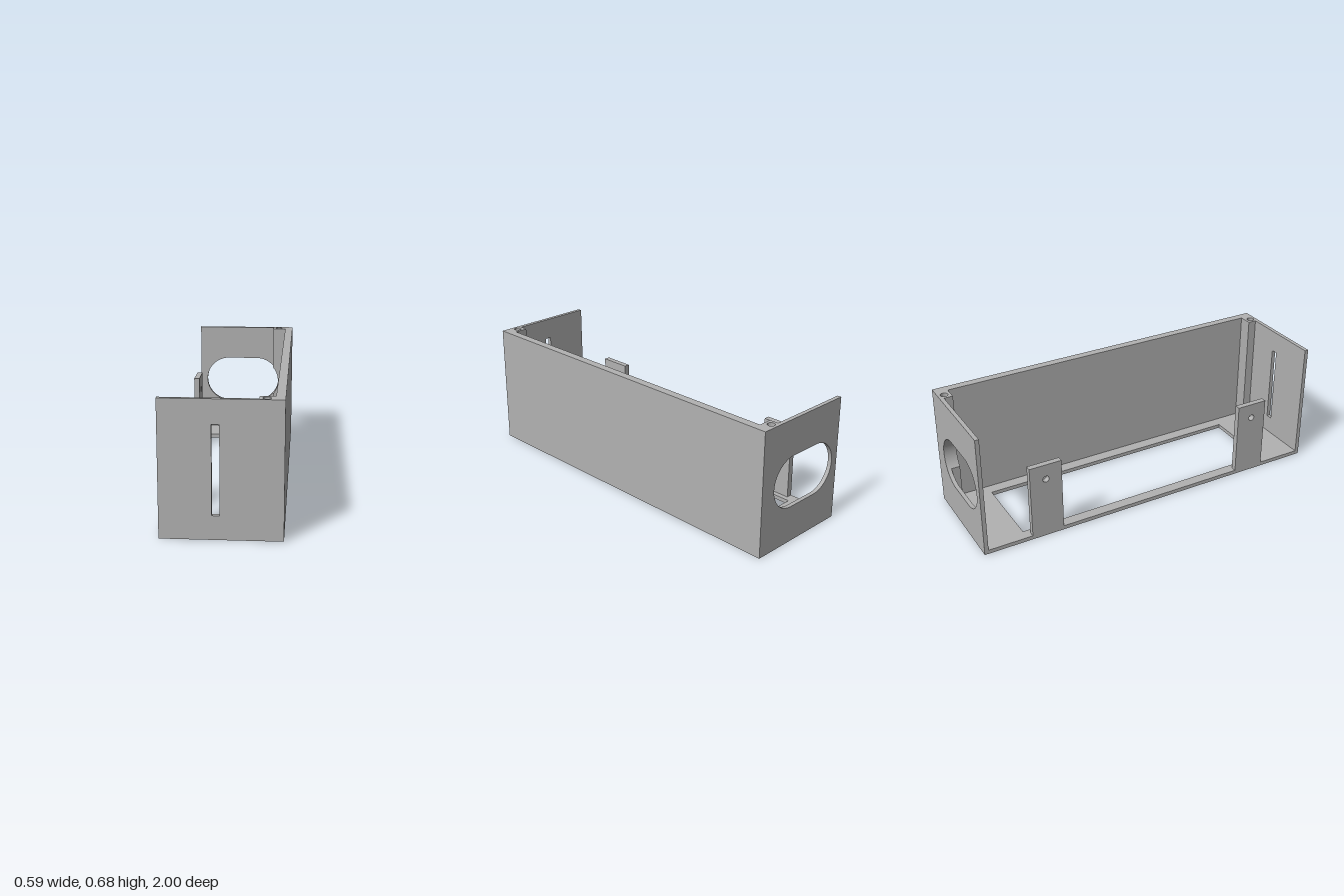
import * as THREE from 'three';

// Main dimensions
const X = 0.295, Z = 1, H = 0.68, T = 0.022;   // half width, half length, height, thin wall
const WALL = 0.25, POST_X = 0.175, POST_Z = 0.93; // inner faces of side wall and corner posts
const LOW = 0.1, HIGH = 0.58;                  // end levels of the blind screw holes
const OVAL = { x: -0.024, y: 0.34, half: 0.09, r: 0.14 };

const poly = (pts, Type = THREE.Shape) => new Type(pts.map(([x, y]) => new THREE.Vector2(x, y)));
const rect = (x0, y0, x1, y1, Type) => poly([[x0, y0], [x1, y0], [x1, y1], [x0, y1]], Type);

const circle = (x, y, r) => {
  const p = new THREE.Path();
  p.absarc(x, y, r, 0, Math.PI * 2, true);
  return p;
};

const extrude = (shape, depth, curveSegments) =>
  new THREE.ExtrudeGeometry(shape, { depth, curveSegments, bevelEnabled: false });

// Plan shape (x, z) raised from y0 to y1
const raise = (shape, y0, y1) => extrude(shape, y1 - y0, 8).rotateX(Math.PI / 2).translate(0, y1, 0);
// Elevation shape (x, y) running from z0 to z1
const along = (shape, z0, z1) => extrude(shape, z1 - z0, 24).translate(0, 0, z0);

const withScrewHoles = (shape) => {
  for (const z of [-0.965, 0.965]) shape.holes.push(circle(0.21, z, 0.02));
  return shape;
};

export function createModel() {
  const group = new THREE.Group();
  const grey = new THREE.MeshStandardMaterial({ color: 0xb2b2b2 });
  grey.name = 'plain grey';
  const add = (name, geometry) => {
    const mesh = new THREE.Mesh(geometry, grey);
    mesh.name = name;
    group.add(mesh);
    return mesh;
  };

  // Floor frame with its large opening
  const floor = withScrewHoles(rect(-X, -Z, X, Z));
  floor.holes.push(rect(-0.235, -0.76, 0.185, 0.76, THREE.Path));
  add('floor', raise(floor, 0, T));

  // Three-sided wall plan with corner posts, below and above the end openings
  const wallPlan = () => withScrewHoles(poly([
    [-X, -Z], [X, -Z], [X, Z], [-X, Z], [-X, Z - T], [POST_X, Z - T],
    [POST_X, POST_Z], [WALL, POST_Z], [WALL, -POST_Z], [POST_X, -POST_Z],
    [POST_X, T - Z], [-X, T - Z],
  ]));
  add('lowerWalls', raise(wallPlan(), T, LOW));
  add('upperWalls', raise(wallPlan(), HIGH, H));

  // Middle band: solid side wall
  add('sideWall', along(rect(WALL, LOW, X, HIGH), -Z, Z));

  // Front end with narrow slot
  const front = rect(-X, LOW, WALL, HIGH);
  front.holes.push(rect(-0.043, 0.12, -0.006, 0.56, THREE.Path));
  add('frontWall', along(front, Z - T, Z));
  add('frontPost', along(rect(POST_X, LOW, WALL, HIGH), POST_Z, Z - T));

  // Back end with rounded opening, which also bites into the post
  const back = rect(-X, LOW, WALL, HIGH);
  const oval = new THREE.Path();
  oval.absarc(OVAL.x + OVAL.half, OVAL.y, OVAL.r, -Math.PI / 2, Math.PI / 2, false);
  oval.absarc(OVAL.x - OVAL.half, OVAL.y, OVAL.r, Math.PI / 2, Math.PI * 1.5, false);
  oval.closePath();
  back.holes.push(oval);
  add('backWall', along(back, -Z, T - Z));

  const cx = OVAL.x + OVAL.half;
  const bite = Math.acos((POST_X - cx) / OVAL.r);
  const post = poly([[POST_X, LOW], [WALL, LOW], [WALL, HIGH], [POST_X, HIGH]]);
  post.absarc(cx, OVAL.y, OVAL.r, bite, -bite, true);
  post.closePath();
  add('backPost', along(post, T - Z, -POST_Z));

  // Upright mounting tabs on the open side, each with a screw hole
  for (const [name, z] of [['backTab', -0.64], ['frontTab', 0.635]]) {
    const tab = rect(-0.09, T, 0.09, 0.43);
    tab.holes.push(circle(0, 0.345, 0.018));
    add(name, extrude(tab, 0.032, 8).rotateY(Math.PI / 2).translate(-X, 0, z));
  }

  return group;
}
